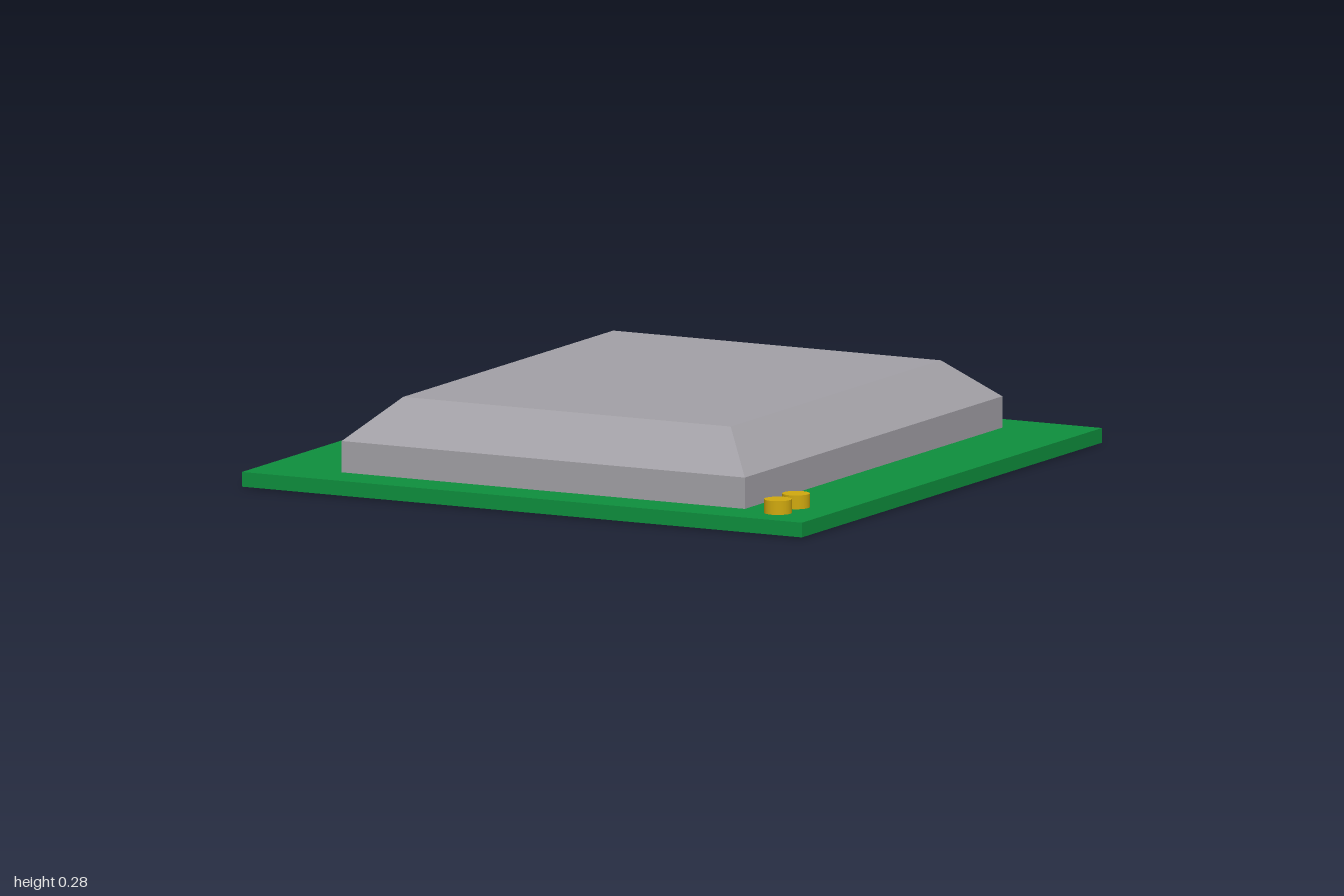
import * as THREE from 'three';

const material = (name, color) => {
  const m = new THREE.MeshStandardMaterial({ color });
  m.name = name;
  return m;
};

export function createModel() {
  const model = new THREE.Group();
  model.name = 'circuitModule';
  const green = material('boardGreen', 0x0e8f3d);
  const grey = material('shieldGrey', 0xa2a0a6);
  const gold = material('contactGold', 0xd0a90f);

  const add = (name, geometry, mat, x = 0, y = 0, z = 0) => {
    const mesh = new THREE.Mesh(geometry, mat);
    mesh.name = name;
    mesh.position.set(x, y, z);
    model.add(mesh);
  };

  // Circuit board with a square ground pad underneath
  const padThickness = 0.003;
  const boardTop = 0.05;
  add('board', new THREE.BoxGeometry(2, boardTop - padThickness, 2), green,
    0, (boardTop + padThickness) / 2, 0);
  add('groundPad', new THREE.BoxGeometry(1.52, padThickness, 1.52), gold, 0, padThickness / 2, 0);

  // Shield can: straight walls, then four slopes up to a smaller flat top
  const rings = { '-1': [0.72, 0.05, 0.858], 0: [0.72, 0.15, 0.858], 1: [0.585, 0.278, 0.70] };
  const can = new THREE.BoxGeometry(2, 2, 2, 1, 2, 1).toNonIndexed();
  const p = can.attributes.position;
  for (let i = 0; i < p.count; i++) {
    const [halfX, y, halfZ] = rings[Math.round(p.getY(i))];
    p.setXYZ(i, Math.sign(p.getX(i)) * halfX, y, Math.sign(p.getZ(i)) * halfZ);
  }
  can.computeVertexNormals();
  add('shieldCan', can, grey);

  // Triangular orientation mark in the back right corner
  const triangle = new THREE.Shape([
    new THREE.Vector2(-0.965, 0.97),
    new THREE.Vector2(-0.965, 0.755),
    new THREE.Vector2(-0.75, 0.97),
  ]);
  const mark = new THREE.ExtrudeGeometry(triangle, { depth: 0.003, bevelEnabled: false });
  mark.rotateX(-Math.PI / 2);
  add('cornerMark', mark, gold, 0, boardTop, 0);

  // Two round contact pins in the front left corner
  [0.75, 0.87].forEach((z, i) => {
    add(`contactPin${i + 1}`, new THREE.CylinderGeometry(0.044, 0.044, 0.044, 24), gold,
      0.845, boardTop + 0.022, z);
  });

  return model;
}
